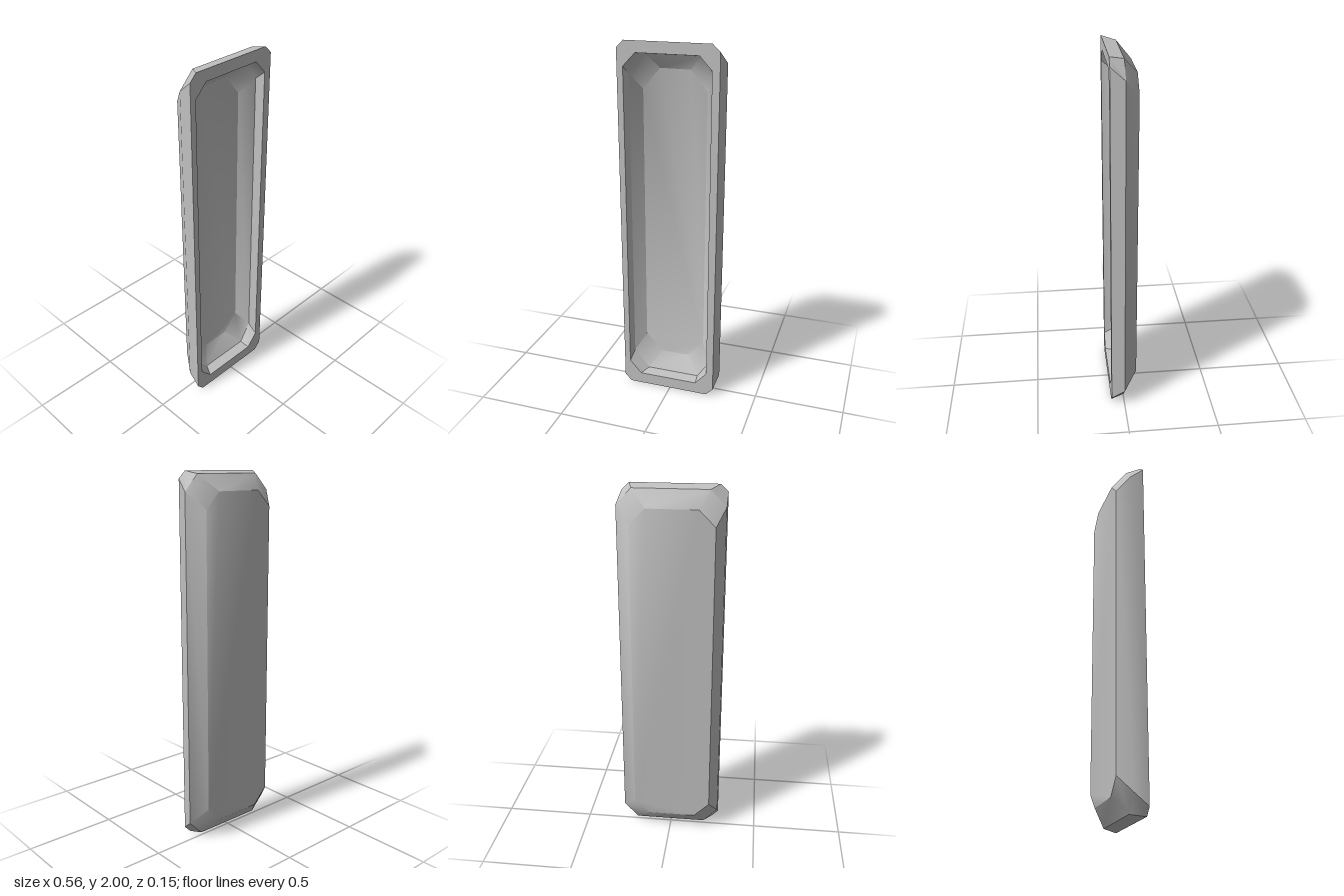
import * as THREE from 'three';
import { toCreasedNormals } from 'three/addons/utils/BufferGeometryUtils.js';

// Chamfered rectangle, counter-clockwise from the front.
// xl..xr and yb..yt are the extents, xa..xb the flat ends, ya..yc the straight sides.
function ring(z, [xl, xa, xb, xr], [yb, ya, yc, yt]) {
  return [
    [xr, ya], [xr, yc], [xb, yt], [xa, yt],
    [xl, yc], [xl, ya], [xa, yb], [xb, yb],
  ].map(([x, y]) => [x, y, z]);
}

// Skin between successive rings, with optional flat caps.
function skin(rings, { capStart = false, capEnd = false } = {}) {
  const pos = [];
  const tri = (a, b, c) => pos.push(...a, ...b, ...c);
  for (let r = 0; r < rings.length - 1; r++) {
    const a = rings[r], b = rings[r + 1];
    for (let i = 0; i < a.length; i++) {
      const j = (i + 1) % a.length;
      tri(a[i], a[j], b[j]);
      tri(a[i], b[j], b[i]);
    }
  }
  const first = rings[0], last = rings[rings.length - 1];
  for (let i = 1; i < first.length - 1; i++) {
    if (capStart) tri(first[0], first[i + 1], first[i]);
    if (capEnd) tri(last[0], last[i], last[i + 1]);
  }
  const g = new THREE.BufferGeometry();
  g.setAttribute('position', new THREE.Float32BufferAttribute(pos, 3));
  return toCreasedNormals(g, 0.62);
}

export function createModel() {
  const group = new THREE.Group();
  group.name = 'tray';
  const grey = new THREE.MeshStandardMaterial({ color: 0xc0c0c0 });
  grey.name = 'plain grey';

  // Outer cross-sections, back to front
  const back = ring(-0.073, [-0.23, -0.145, 0.12, 0.205], [0.1, 0.185, 1.815, 1.9]);
  const waist = ring(0, [-0.277, -0.195, 0.2, 0.28], [0.015, 0.1, 1.9, 1.985]);
  const lip = ring(0.073, [-0.28, -0.242, 0.22, 0.26], [0, 0.04, 1.962, 2]);

  // Inner cross-sections, front to back
  const opening = ring(0.073, [-0.247, -0.18, 0.155, 0.22], [0.065, 0.14, 1.87, 1.94]);
  const step = ring(0.013, [-0.238, -0.15, 0.15, 0.222], [0.075, 0.18, 1.82, 1.93]);
  const floor = ring(-0.052, [-0.185, -0.09, 0.075, 0.165], [0.165, 0.265, 1.74, 1.85]);

  const add = (name, geometry) => {
    const mesh = new THREE.Mesh(geometry, grey);
    mesh.name = name;
    group.add(mesh);
  };
  add('outerShell', skin([back, waist, lip], { capStart: true }));
  add('rim', skin([lip, opening]));
  add('basin', skin([opening, step, floor], { capEnd: true }));

  return group;
}
